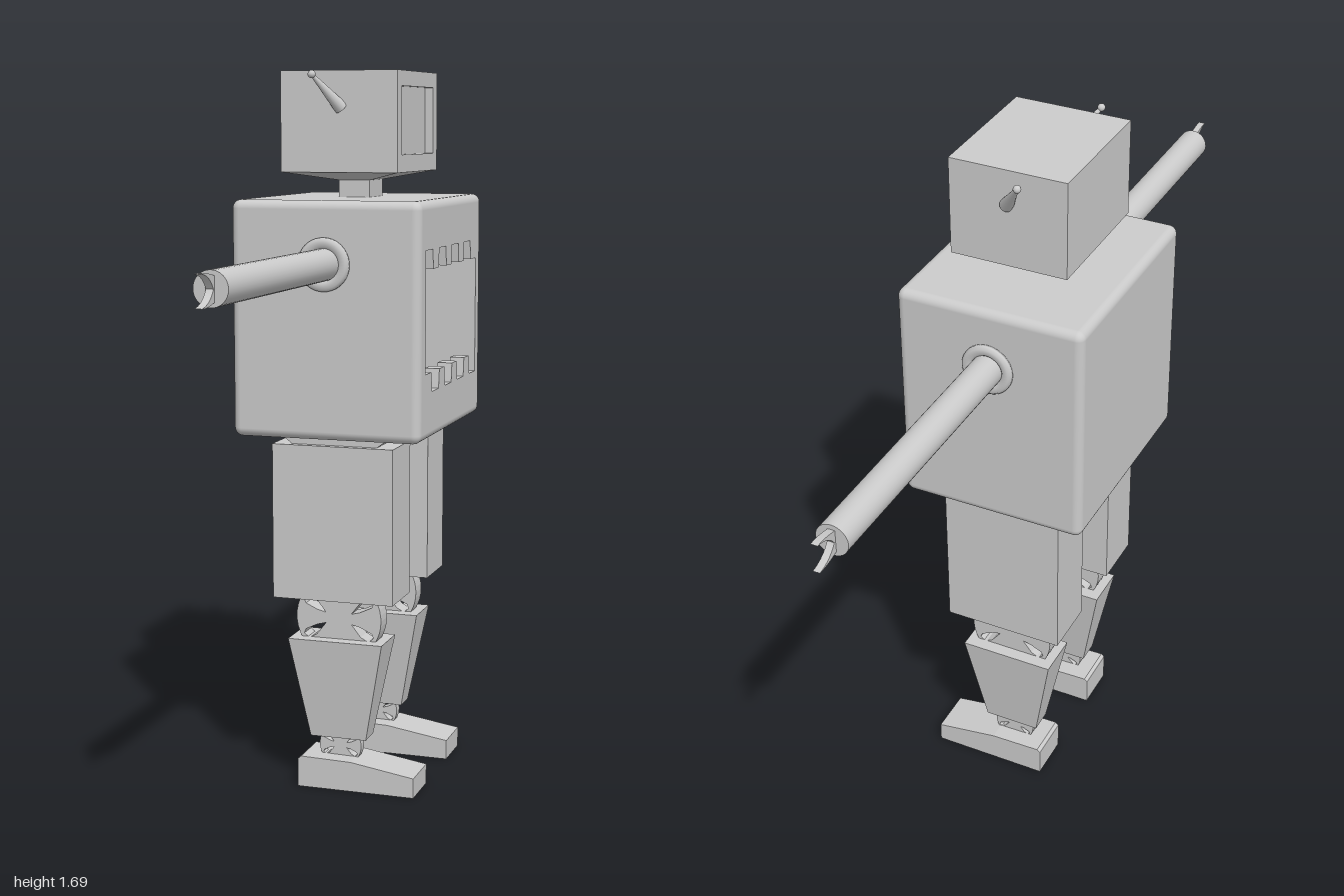
import * as THREE from 'three';
import { RoundedBoxGeometry } from 'three/addons/geometries/RoundedBoxGeometry.js';

const grey = new THREE.MeshStandardMaterial({ color: 0xcccccc });
const inside = new THREE.MeshStandardMaterial({ color: 0xcccccc, side: THREE.BackSide });
const V = (x, y) => new THREE.Vector2(x, y);
const rect = (w, y0, y1) => [V(-w, y0), V(w, y0), V(w, y1), V(-w, y1)];

function add(parent, name, geo, x = 0, y = 0, z = 0, material = grey) {
  const mesh = new THREE.Mesh(geo, material);
  mesh.name = name;
  mesh.position.set(x, y, z);
  parent.add(mesh);
  return mesh;
}

// Box between two heights; half sizes [x, z] at the bottom and the top
function taper(y0, y1, bottom, top) {
  const geo = new THREE.BoxGeometry(2, 2, 2);
  const p = geo.attributes.position;
  for (let i = 0; i < p.count; i++) {
    const up = p.getY(i) > 0, [sx, sz] = up ? top : bottom;
    p.setXYZ(i, p.getX(i) * sx, up ? y1 : y0, p.getZ(i) * sz);
  }
  geo.computeVertexNormals();
  return geo;
}

// Flat plate with holes, centred on its thickness
function plate(outline, holes, depth) {
  const shape = new THREE.Shape(outline);
  holes.forEach(h => shape.holes.push(new THREE.Path(h)));
  return new THREE.ExtrudeGeometry(shape, { depth, bevelEnabled: false })
    .translate(0, 0, -depth / 2);
}

// Toothed mouth outline: upper and lower teeth alternate
function mouthOutline(half, low, high) {
  const n = 8, step = 2 * half / n, edge = (base, tip, odd) => {
    const pts = [];
    for (let i = 0; i < n; i++) {
      const tooth = i % 2 === odd, x = -half + i * step;
      pts.push(V(x + (tooth && i > 0 ? 0.006 : 0), tooth ? tip : base));
      pts.push(V(x + step - (tooth && i < n - 1 ? 0.006 : 0), tooth ? tip : base));
    }
    return pts;
  };
  return [...edge(high, high - 0.045, 1), ...edge(low, low + 0.045, 0).reverse()];
}

function makeTorso() {
  const g = new THREE.Group();
  g.name = 'torso';
  // rounded shell without its flat front panel
  const box = new RoundedBoxGeometry(0.45, 0.545, 0.54, 4, 0.02);
  const p = box.attributes.position, n = box.attributes.normal, pos = [], nor = [];
  for (let i = 0; i < p.count; i += 3) {
    if ([0, 1, 2].every(k => p.getX(i + k) > 0.2249)) continue;
    for (let k = i; k < i + 3; k++) {
      pos.push(p.getX(k), p.getY(k), p.getZ(k));
      nor.push(n.getX(k), n.getY(k), n.getZ(k));
    }
  }
  const shell = new THREE.BufferGeometry();
  shell.setAttribute('position', new THREE.Float32BufferAttribute(pos, 3));
  shell.setAttribute('normal', new THREE.Float32BufferAttribute(nor, 3));
  add(g, 'torsoShell', shell, 0, 1.1275, 0);
  // front panel with teeth, and the cavity behind it
  const front = plate(rect(0.25, 0.875, 1.38), [mouthOutline(0.222, 0.965, 1.29)], 0.035);
  add(g, 'toothedFront', front.rotateY(Math.PI / 2), 0.2075);
  const cavity = new THREE.BoxGeometry(0.4, 0.325, 0.444);
  cavity.setIndex(Array.from(cavity.index.array).slice(6));
  add(g, 'mouthCavity', cavity, 0, 1.1275, 0, inside);
  return g;
}

function makeHead() {
  const g = new THREE.Group();
  g.name = 'head';
  add(g, 'neck', taper(1.39, 1.45, [0.038, 0.05], [0.038, 0.05]));
  add(g, 'jaw', taper(1.44, 1.46, [0.04, 0.052], [0.14, 0.165]));
  add(g, 'headBlock', taper(1.46, 1.69, [0.13, 0.165], [0.13, 0.165]), -0.01);
  const frame = plate(rect(0.165, 1.46, 1.69), [rect(0.13, 1.5, 1.655)], 0.02);
  add(g, 'screenFrame', frame.rotateY(Math.PI / 2), 0.13);
  for (const s of [1, -1]) {
    const a = new THREE.Vector3(0.005, 1.605, 0.16 * s);
    const b = new THREE.Vector3(-0.047, 1.68, 0.215 * s);
    const rod = add(g, 'antenna', new THREE.CylinderGeometry(0.004, 0.016, a.distanceTo(b), 16));
    rod.position.copy(a).lerp(b, 0.5);
    rod.quaternion.setFromUnitVectors(new THREE.Vector3(0, 1, 0), b.clone().sub(a).normalize());
    add(g, 'antennaTip', new THREE.SphereGeometry(0.009, 16, 10), b.x, b.y, b.z);
  }
  return g;
}

// Arm pointing along +z
function makeArm() {
  const g = new THREE.Group();
  g.name = 'arm';
  const ring = [V(0.036, 0), V(0.061, 0), V(0.061, 0.008), V(0.055, 0.015), V(0.042, 0.015), V(0.036, 0.008)];
  add(g, 'shoulderRing', new THREE.LatheGeometry(ring, 40).rotateX(Math.PI / 2), 0, 0, 0.269);
  add(g, 'armTube', new THREE.CylinderGeometry(0.037, 0.037, 0.68, 32).rotateX(Math.PI / 2), 0, 0, 0.597);
  // two curved prongs opening outwards
  for (const s of [1, -1]) {
    const claw = new THREE.Shape();
    claw.moveTo(0.93, 0);
    claw.lineTo(0.93, 0.024 * s);
    claw.quadraticCurveTo(0.975, 0.036 * s, 1, 0.033 * s);
    claw.quadraticCurveTo(0.96, 0.028 * s, 0.942, 0);
    const geo = new THREE.ExtrudeGeometry(claw, { depth: 0.016, bevelEnabled: false });
    add(g, 'claw', geo.translate(0, 0, -0.008).rotateY(-Math.PI / 2));
  }
  g.position.y = 1.257;
  return g;
}

// Round joint with four slanted teardrop openings
function joint(r, depth) {
  const disc = new THREE.Shape().absarc(0, 0, r, 0, Math.PI * 2);
  for (const sx of [1, -1]) for (const sy of [1, -1]) {
    const q = (x, y) => V(x * sx * r, y * sy * r);
    const hole = [q(0.3, 0.12), q(0.5, 0.17), q(0.78, 0.3), q(0.82, 0.4), q(0.7, 0.5), q(0.52, 0.4)];
    disc.holes.push(new THREE.Path(hole));
  }
  return new THREE.ExtrudeGeometry(disc, { depth, bevelEnabled: false, curveSegments: 24 })
    .translate(0, 0, -depth / 2);
}

function makeLeg(z) {
  const g = new THREE.Group();
  g.name = 'leg';
  add(g, 'hip', taper(0.83, 0.86, [0.1, 0.055], [0.14, 0.055]));
  add(g, 'thigh', taper(0.485, 0.833, [0.147, 0.071], [0.147, 0.071]));
  const rim = plate(rect(0.147, -0.071, 0.071), [rect(0.132, -0.056, 0.056)], 0.02);
  add(g, 'thighRim', rim.rotateX(Math.PI / 2), 0, 0.475);
  add(g, 'knee', joint(0.105, 0.048), 0, 0.413);
  add(g, 'shin', taper(0.12, 0.363, [0.069, 0.029], [0.116, 0.056]));
  add(g, 'ankle', joint(0.052, 0.024), 0, 0.098);
  const sole = [V(-0.093, 0), V(0.195, 0), V(0.195, 0.048), V(0.04, 0.072), V(-0.085, 0.075), V(-0.093, 0.068)];
  add(g, 'foot', plate(sole, [], 0.112));
  g.position.z = z;
  return g;
}

export function createModel() {
  const model = new THREE.Group();
  model.name = 'robot';
  const leftArm = makeArm(), rightArm = makeArm();
  rightArm.rotation.y = Math.PI;
  model.add(makeTorso(), makeHead(), leftArm, rightArm, makeLeg(0.147), makeLeg(-0.147));
  return model;
}
